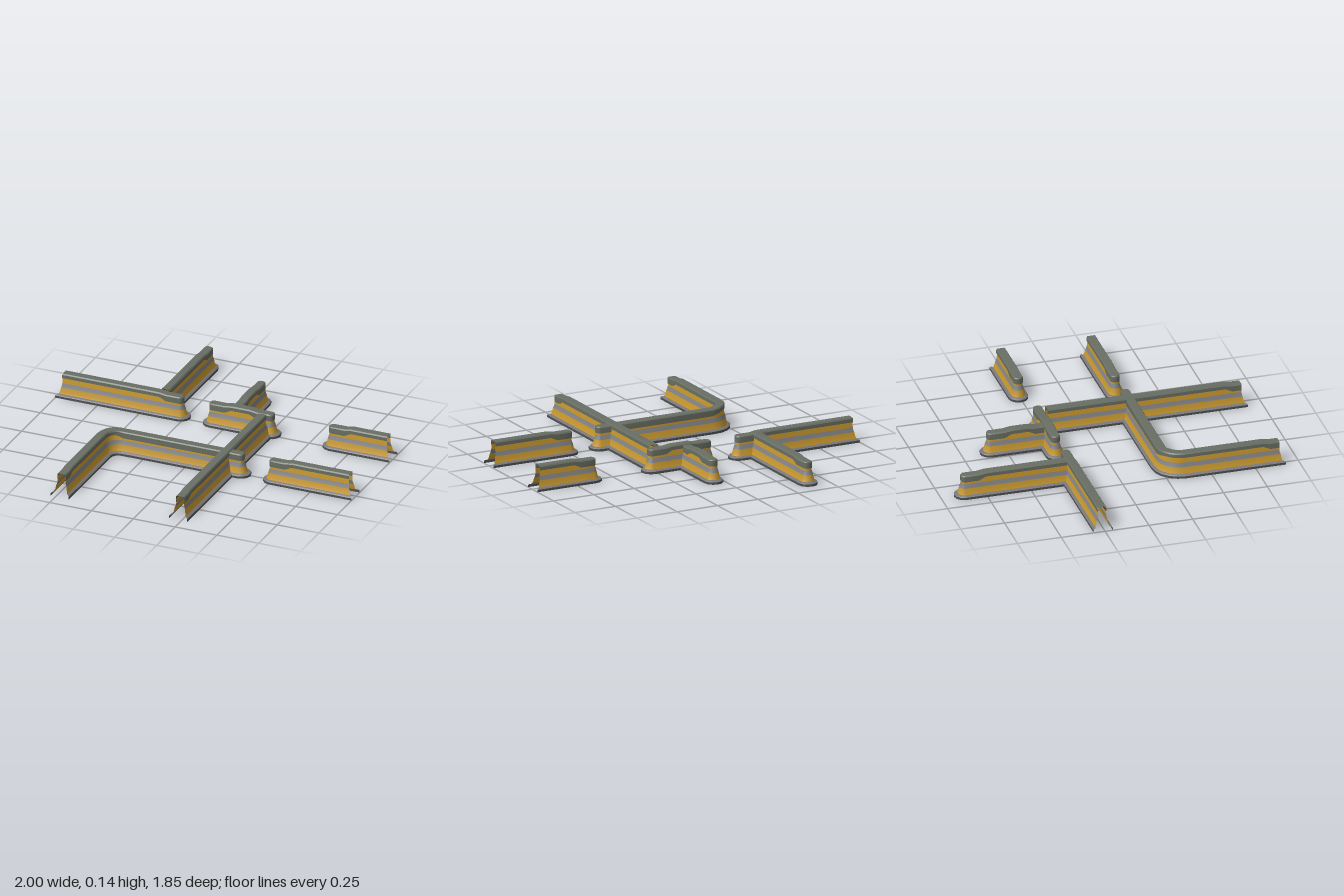
import * as THREE from 'three';
import { toCreasedNormals } from 'three/addons/utils/BufferGeometryUtils.js';

const FOOT = 0.055; // half width of the wall at the ground
const CAP = 0.026; // half width of the coping

// Coloured bands of the wall section, bottom to top: [half width, y, y where the coping dips]
const BANDS = [
  ['plinth', 0x4e5052, [[FOOT, 0], [FOOT, 0.013]]],
  ['plinthLedge', 0x77767a, [[FOOT, 0.013], [0.049, 0.019], [0.040, 0.021]]],
  ['lowerStripe', 0xc8982e, [[0.040, 0.021], [0.035, 0.035], [0.031, 0.057]]],
  ['middleStripe', 0x808286, [[0.031, 0.057], [0.028, 0.066], [0.024, 0.081]]],
  ['upperStripe', 0xc8982e, [[0.024, 0.081], [0.021, 0.113]]],
  ['copingSeam', 0x2e302c, [[0.020, 0.112, 0.093], [CAP, 0.112, 0.093]]],
  ['coping', 0x696f64, [[CAP, 0.112, 0.093], [CAP, 0.131, 0.125], [0.021, 0.138, 0.131], [0, 0.138, 0.131]]],
];

// Stations [x, z, dip] of a straight run, the coping dipping near chosen ends
function straight(a, b, dipA, dipB) {
  const len = Math.hypot(b[0] - a[0], b[1] - a[1]);
  const at = (s, dip) => [a[0] + (b[0] - a[0]) * s / len, a[1] + (b[1] - a[1]) * s / len, dip];
  const pts = [at(0, dipA)];
  if (dipA) pts.push(at(0.08, 1), at(0.12, 0));
  if (dipB) pts.push(at(len - 0.12, 0), at(len - 0.08, 1));
  pts.push(at(len, dipB));
  return pts;
}

// Rail running round the wall: up one side, round the end, back down the other side
function makeRail(pts, roundStart, roundEnd) {
  const n = pts.length, rail = [];
  const stations = pts.map(([x, z, dip], i) => {
    const p = pts[Math.max(i - 1, 0)], q = pts[Math.min(i + 1, n - 1)];
    const l = Math.hypot(q[0] - p[0], q[1] - p[1]);
    return { x, z, dip, tx: (q[0] - p[0]) / l, tz: (q[1] - p[1]) / l, i };
  });
  const add = (s, angle, sign) => {
    const c = Math.cos(angle) * sign, d = Math.sin(angle) * sign;
    // open ends slope back with height, round ends only slightly
    const atEnd = s.i === n - 1, atStart = s.i === 0;
    let open = 0;
    if (atEnd && !roundEnd) open = -1;
    if (atStart && !roundStart) open = 1;
    rail.push({
      ...s, nx: s.tz * c + s.tx * d, nz: -s.tx * c + s.tz * d,
      slide: open || -0.25 * d,
    });
  };
  const turn = (s, sign) => {
    for (let k = 1; k < 6; k++) add(s, Math.PI * k / 6, sign);
  };
  stations.forEach((s) => add(s, 0, 1));
  if (roundEnd) turn(stations[n - 1], 1);
  const split = rail.length;
  [...stations].reverse().forEach((s) => add(s, 0, -1));
  if (roundStart) {
    turn(stations[0], -1);
    rail.push(rail[0]);
  }
  return { rail, split };
}

function makeBand({ rail, split }, profile, roundEnd) {
  const point = (r, [w, y, yDip = y]) => {
    const slide = r.slide * (FOOT - Math.max(w, CAP));
    return [r.x + r.nx * w + r.tx * slide, y + (yDip - y) * r.dip, r.z + r.nz * w + r.tz * slide];
  };
  const pos = [];
  for (let i = 0; i < rail.length - 1; i++) {
    if (i === split - 1 && !roundEnd) continue; // leave the open end hollow
    for (let j = 0; j < profile.length - 1; j++) {
      const a = point(rail[i], profile[j]), b = point(rail[i + 1], profile[j]);
      const c = point(rail[i], profile[j + 1]), d = point(rail[i + 1], profile[j + 1]);
      pos.push(...a, ...c, ...b, ...b, ...c, ...d);
    }
  }
  const geo = new THREE.BufferGeometry();
  geo.setAttribute('position', new THREE.Float32BufferAttribute(pos, 3));
  return toCreasedNormals(geo, 0.6);
}

export function createModel() {
  const model = new THREE.Group();
  model.name = 'barrierWalls';
  const materials = BANDS.map(([, color]) => new THREE.MeshStandardMaterial({ color, side: THREE.DoubleSide }));

  const addWall = (name, pts, roundStart, roundEnd) => {
    const wall = new THREE.Group();
    wall.name = name;
    const rail = makeRail(pts, roundStart, roundEnd);
    BANDS.forEach(([band, , profile], i) => {
      const mesh = new THREE.Mesh(makeBand(rail, profile, roundEnd), materials[i]);
      mesh.name = band;
      wall.add(mesh);
    });
    model.add(wall);
  };

  const back = -0.26, front = 0.255;

  // Back row, with two spurs running backwards
  addWall('backRightWall', straight([-1, back], [-0.272, back], 0, 1), false, true);
  addWall('longSpur', straight([-0.377, back], [-0.377, -0.872], 0, 1), false, true);
  addWall('backMiddleWall', straight([-0.081, back], [0.268, back], 1, 1), true, true);
  addWall('shortSpur', straight([0.06, back], [0.06, -0.595], 1, 1), false, true);
  addWall('backLeftWall', straight([0.635, back], [1, back], 1, 0), true, false);

  // Long wall crossing from the back row to the front
  addWall('crossingWall', straight([0.23, back + 0.01], [0.23, 0.915], 0, 1), false, false);

  // Front row
  addWall('frontLeftWall', straight([0.507, front], [1, front], 1, 0), true, false);

  // Wall that turns a rounded corner towards the front
  const R = 0.1, cornerX = -0.476;
  const bent = [[0.317, front, 1]];
  for (let k = 0; k <= 5; k++) {
    const a = Math.PI / 2 * k / 5;
    bent.push([cornerX + R - R * Math.sin(a), front + R - R * Math.cos(a), Math.max(0, 1 - k / 2)]);
  }
  bent.push(...straight([cornerX, front + R], [cornerX, 0.922], 0, 1).slice(1));
  addWall('corneredWall', bent, true, false);

  return model;
}
